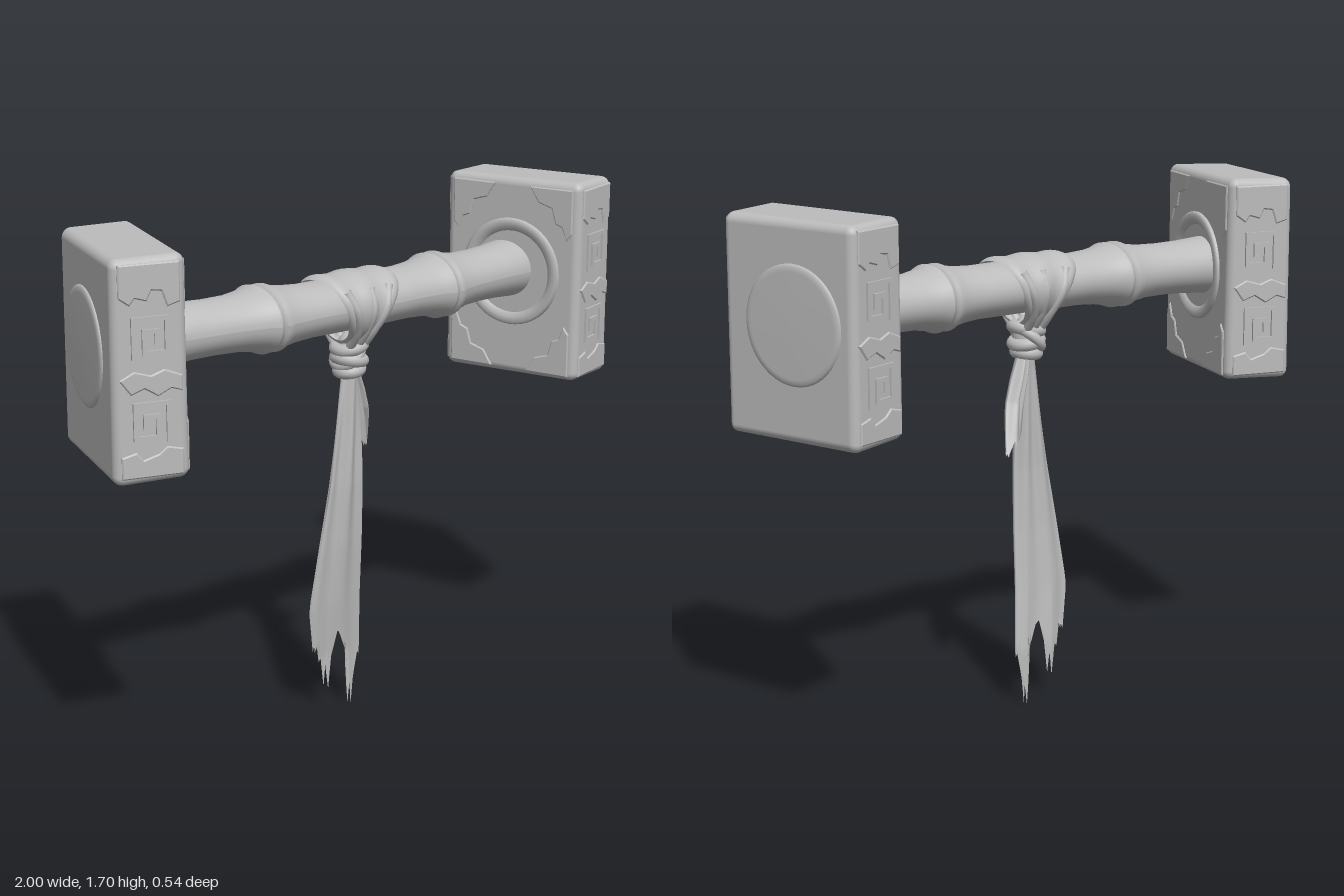
import * as THREE from 'three';
import { RoundedBoxGeometry } from 'three/addons/geometries/RoundedBoxGeometry.js';
import { ParametricGeometry } from 'three/addons/geometries/ParametricGeometry.js';

const stone = new THREE.MeshStandardMaterial({ color: 0xbcbcbc, side: THREE.DoubleSide });
stone.name = 'plain light grey';

function add(parent, name, geometry, x = 0, y = 0, z = 0) {
  const mesh = new THREE.Mesh(geometry, stone);
  mesh.name = name;
  mesh.position.set(x, y, z);
  parent.add(mesh);
  return mesh;
}

// Piecewise linear lookup in a list of [key, value] pairs with rising keys
function lookup(list, k) {
  if (k <= list[0][0]) return list[0][1];
  for (let i = 1; i < list.length; i++) {
    const [a, va] = list[i - 1], [b, vb] = list[i];
    if (k <= b) return va + (vb - va) * (k - a) / (b - a);
  }
  return list[list.length - 1][1];
}

function deform(geometry, rule) {
  const p = geometry.attributes.position, v = new THREE.Vector3();
  for (let i = 0; i < p.count; i++) {
    rule(v.fromBufferAttribute(p, i));
    p.setXYZ(i, v.x, v.y, v.z);
  }
  return geometry;
}

const latheX = (points, sides = 48) =>
  new THREE.LatheGeometry(points.map(([r, h]) => new THREE.Vector2(r, h)), sides).rotateZ(-Math.PI / 2);

// Square spiral of raised strips
const SPIRAL = [[-.05, -.055], [-.05, .055], [.05, .055], [.05, -.045], [-.018, -.045], [-.018, .018], [.02, .018], [.02, -.014]];
function spiral(parent, y, flip) {
  const g = new THREE.Group();
  g.name = 'squareSpiral';
  for (let i = 1; i < SPIRAL.length; i++) {
    const [ax, ay] = SPIRAL[i - 1], [bx, by] = SPIRAL[i];
    add(g, 'spiralStrip', new THREE.BoxGeometry(Math.abs(ax - bx) + .014, Math.abs(ay - by) + .014, .009),
      (ax + bx) / 2, (ay + by) / 2, 0);
  }
  g.position.set(0, y, .2525);
  g.scale.x = flip;
  parent.add(g);
}

// Thin worn layer with a broken outline
function crust(parent, points, depth = .008) {
  const shape = new THREE.Shape(points.map(([x, y]) => new THREE.Vector2(x, y)));
  const geo = new THREE.ExtrudeGeometry(shape, { depth: depth / 2, bevelSize: .004, bevelThickness: depth / 2, bevelSegments: 1 });
  return add(parent, 'wornLayer', geo);
}
const TOP_CRUST = [[-.088, .31], [-.088, .22], [-.06, .2], [-.045, .22], [-.01, .21], [.005, .24], [.04, .235], [.055, .19], [.088, .2], [.088, .31]];
const LOW_CRUST = [[-.09, -.31], [-.09, -.25], [-.05, -.24], [-.03, -.265], [.02, -.25], [.045, -.23], [.09, -.24], [.09, -.31]];
const MID_CRUST = [[-.09, -.02], [-.06, -.06], [-.02, -.045], [.02, -.07], [.06, -.05], [.09, -.06], [.09, -.02], [.04, 0], [0, -.015], [-.05, 0]];
const CORNER_CRUST = [[.22, .31], [.22, .17], [.205, .15], [.19, .19], [.165, .2], [.15, .25], [.1, .265], [.07, .31]];

function head(side) {
  const g = new THREE.Group();
  g.name = side > 0 ? 'leftHead' : 'rightHead';
  add(g, 'stoneBlock', deform(new RoundedBoxGeometry(.228, .665, .5, 4, .028), (v) => {
    v.x *= 1 - .06 * v.y;
    v.y += .006 * Math.sin(9 * v.z + 14 * v.x);
  }));
  // Round inlay on the outer face
  add(g, 'roundInlay', latheX([[.182, -.01], [.182, .004], [.174, .009], [.16, .011], [0, .012]]), .111, .02, -.02 * side);
  // Collar round the handle on the inner face
  add(g, 'handleCollar', latheX([[.18, .01], [.18, -.008], [.172, -.014], [.155, -.014], [.14, -.004], [.13, .01]]), -.112, .02, 0);
  // Carved ends, alike on front and back
  for (const turn of [0, Math.PI]) {
    const face = new THREE.Group();
    face.name = 'carvedFace';
    face.rotation.y = turn;
    spiral(face, .1, turn ? -side : side);
    spiral(face, -.15, turn ? side : -side);
    for (const pts of [TOP_CRUST, LOW_CRUST, MID_CRUST]) crust(face, pts).position.z = .247;
    g.add(face);
  }
  // Worn corners of the inner face
  for (const sy of [1, -1]) for (const sz of [1, -1]) {
    const m = crust(g, CORNER_CRUST.map(([a, b]) => [a * sz, b * sy]), .006);
    m.rotation.y = -Math.PI / 2;
    m.position.x = -.113 + .002 * sy;
  }
  g.position.set(.824 * side, 1.368, 0);
  g.rotation.y = side > 0 ? .295 : Math.PI - .295;
  return g;
}

// Flat strip of cloth with tapered edges, soft folds and a torn lower end
function clothStrip(parent, name, { top, left, right, depth, hem, thick, folds }) {
  const geo = new ParametricGeometry((u, t, out) => {
    const front = u < .5, s = front ? u * 2 : 2 - u * 2;
    const y = top + (lookup(hem, s) - top) * t;
    const l = lookup(left, y), r = lookup(right, y);
    const fold = .009 * Math.sin(s * Math.PI * 2 * folds + y * 2) * Math.min(1, t * 3) * (1 - t * .6);
    const half = thick * (.25 + .75 * Math.sin(Math.PI * s)) * (1 - .5 * t);
    out.set(l + (r - l) * s, y, lookup(depth, y) + fold + (front ? half : -half));
  }, 80, 28);
  add(parent, name, geo);
}

export function createModel() {
  const model = new THREE.Group();
  model.name = 'doubleHeadedHammer';
  model.add(head(1), head(-1));

  // Jointed cane handle, bowed forward and wider than tall
  const half = [[.085, 0], [.084, .2], [.089, .27], [.097, .315], [.106, .335], [.105, .347], [.094, .352], [.094, .358],
    [.105, .363], [.107, .375], [.096, .4], [.087, .46], [.085, .54], [.088, .63], [.096, .72], [.096, .78]];
  const profile = [...half.slice(1).reverse().map(([r, h]) => [r, -h]), ...half];
  const cane = deform(latheX(profile, 40), (v) => {
    v.z = v.z * (1.3 - .3 * v.x * v.x) + .045 - .09 * v.x * v.x;
    v.x += .02 * (1 - Math.abs(v.x) / .8);
  });
  cane.computeVertexNormals();
  add(model, 'handle', cane, 0, 1.395, 0);

  // Cloth wrapped over the handle, gathered to the underside
  add(model, 'clothWrap', new ParametricGeometry((u, v, out) => {
    const a = u * Math.PI * 2, low = (1 - Math.cos(a)) / 2;
    const across = v * 2 - 1, edge = Math.pow(Math.abs(across), 8);
    const width = .135 - .09 * Math.pow(low, 1.3);
    const r = 1 - .12 * edge + .03 * Math.cos(across * 7 + Math.sin(a) * .8) * (1 - edge);
    out.set(across * width + .012 * Math.sin(a * 2) * (1 - low),
      1.397 + Math.cos(a) * .1 * r - .03 * Math.pow(low, 4), .043 + Math.sin(a) * .12 * r);
  }, 60, 40));
  // Gathered folds running down to the knot, front and back
  for (const s of [1, -1]) for (const x of [-.085, .01, .085]) {
    const path = new THREE.CatmullRomCurve3([
      new THREE.Vector3(x, 1.455, .043 + s * .09), new THREE.Vector3(x * .7, 1.39, .043 + s * .112),
      new THREE.Vector3(x * .42, 1.32, .043 + s * .083), new THREE.Vector3(x * .3, 1.25, .043 + s * .03)]);
    add(model, 'clothFold', new THREE.TubeGeometry(path, 16, .015, 10));
  }

  // Knot
  const knot = new THREE.Group();
  knot.name = 'knot';
  add(knot, 'knotCore', new THREE.SphereGeometry(.05, 24, 16)).scale.set(.9, 1.5, .95);
  for (const [y, tilt, r] of [[.03, .22, .044], [-.012, -.18, .043], [-.048, .12, .034]]) {
    const loop = add(knot, 'knotLoop', new THREE.TorusGeometry(r, .021, 12, 32), 0, y, 0);
    loop.rotation.set(Math.PI / 2, tilt, 0);
  }
  const cross = add(knot, 'knotCross', new THREE.TorusGeometry(.05, .017, 12, 32), 0, 0, -.008);
  cross.rotation.set(Math.PI / 2, .75, 0);
  knot.position.set(0, 1.225, .045);
  model.add(knot);

  // Hanging cloth ends
  clothStrip(model, 'longTail', {
    top: 1.2, thick: .026, folds: 2,
    left: [[.2, -.135], [.4, -.145], [.6, -.12], [.8, -.088], [1, -.055], [1.2, -.025]],
    right: [[.1, .075], [.2, .08], [.4, .065], [.8, .048], [1, .04], [1.2, .025]],
    depth: [[0, .004], [.2, .004], [.4, .022], [.6, .038], [.8, .048], [1.2, .048]],
    hem: [[0, .36], [.075, .23], [.15, .27], [.225, .18], [.275, .19], [.35, .085], [.4, .2], [.5, .29], [.625, .27], [.75, .2],
      [.825, 0], [.875, .09], [.95, .19], [1, .17]],
  });
  clothStrip(model, 'shortTailOuter', {
    top: 1.2, thick: .022, folds: 1,
    left: [[.88, .1], [1, .06], [1.2, 0]],
    right: [[.88, .152], [1, .115], [1.1, .075], [1.2, .03]],
    depth: [[.87, -.055], [.93, -.028], [1.03, .012], [1.2, .04]],
    hem: [[0, .93], [.4, .9], [.55, .92], [.9, .87], [1, .89]],
  });
  clothStrip(model, 'shortTailInner', {
    top: 1.2, thick: .022, folds: 1,
    left: [[.9, .045], [1.2, -.005]],
    right: [[.9, .1], [1, .08], [1.2, .025]],
    depth: [[.88, .01], [1, .022], [1.2, .03]],
    hem: [[0, .93], [.4, .89], [.6, .93], [1, .9]],
  });
  return model;
}
